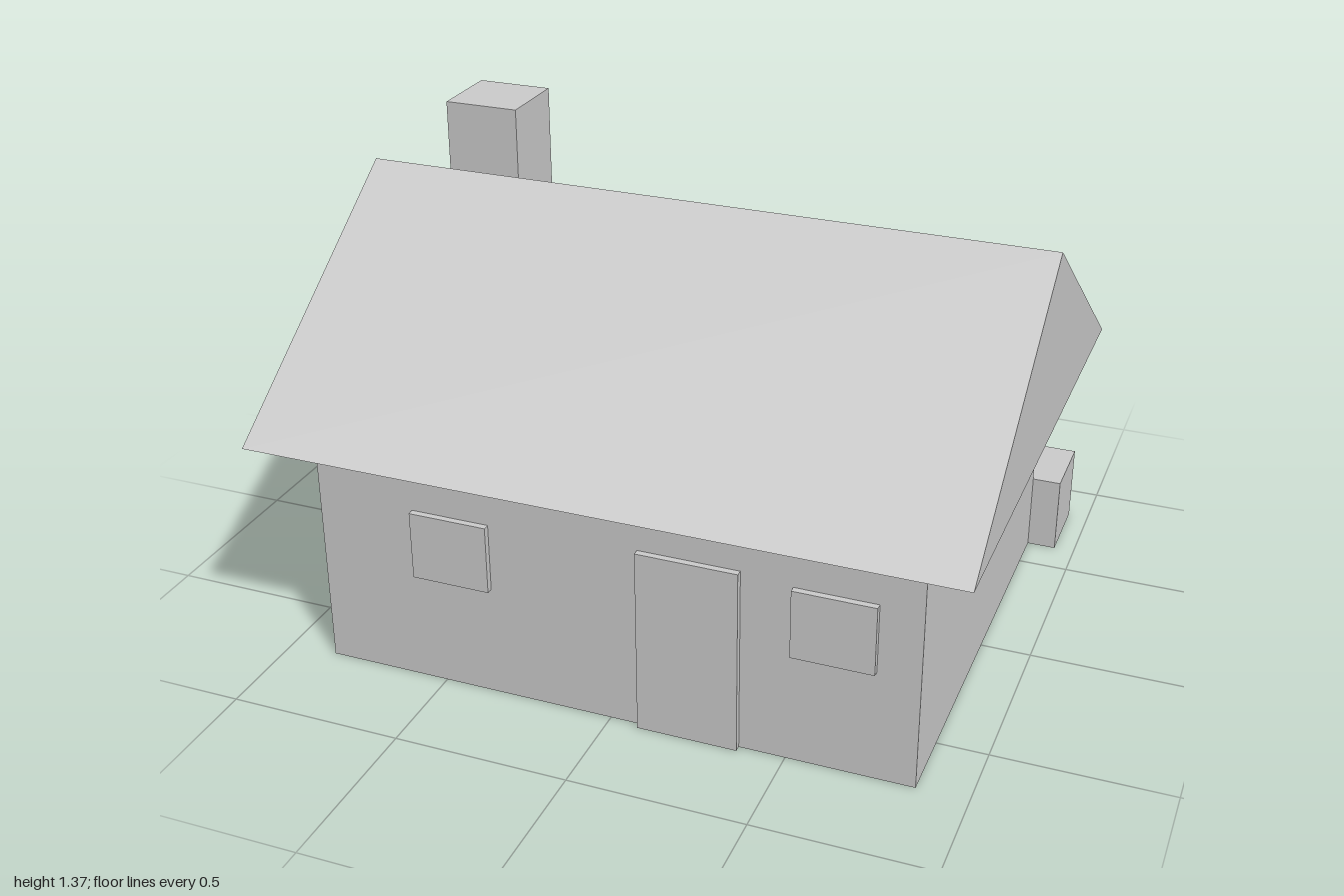
import * as THREE from 'three';

export function createModel() {
  const house = new THREE.Group();
  house.name = 'house';
  const plainGrey = new THREE.MeshStandardMaterial({ color: 0xcccccc });
  plainGrey.name = 'plain grey';

  const add = (name, geometry) => {
    const mesh = new THREE.Mesh(geometry, plainGrey);
    mesh.name = name;
    house.add(mesh);
    return mesh;
  };

  // Box given by its lower and upper limits on each axis
  const block = (name, [x0, x1], [y0, y1], [z0, z1]) =>
    add(name, new THREE.BoxGeometry(x1 - x0, y1 - y0, z1 - z0))
      .position.set((x0 + x1) / 2, (y0 + y1) / 2, (z0 + z1) / 2);

  // Main body
  block('walls', [-0.86, 0.856], [0, 0.703], [-0.615, 0.705]);

  // Gabled roof: a triangle drawn in (-z, y), extruded along x
  const gable = new THREE.Shape([
    new THREE.Vector2(-0.84, 0.703),
    new THREE.Vector2(0.757, 0.703),
    new THREE.Vector2(-0.042, 1.258),
  ]);
  const roof = new THREE.ExtrudeGeometry(gable, { depth: 2, bevelEnabled: false });
  roof.translate(0, 0, -1).rotateY(Math.PI / 2);
  add('roof', roof);

  // Chimney passes through the roof and shows below the eave
  block('chimney', [-0.885, -0.66], [0.52, 1.373], [-0.413, -0.187]);

  // Door and windows stand slightly proud of the front wall
  const proud = [0.705, 0.724];
  block('door', [0.085, 0.37], [0, 0.546], proud);
  block('rightWindow', [-0.573, -0.346], [0.33, 0.53], proud);
  block('leftWindow', [0.512, 0.739], [0.33, 0.53], proud);

  // Low box against the back corner
  block('backBox', [0.487, 0.94], [0, 0.23], [-0.843, -0.615]);

  return house;
}
